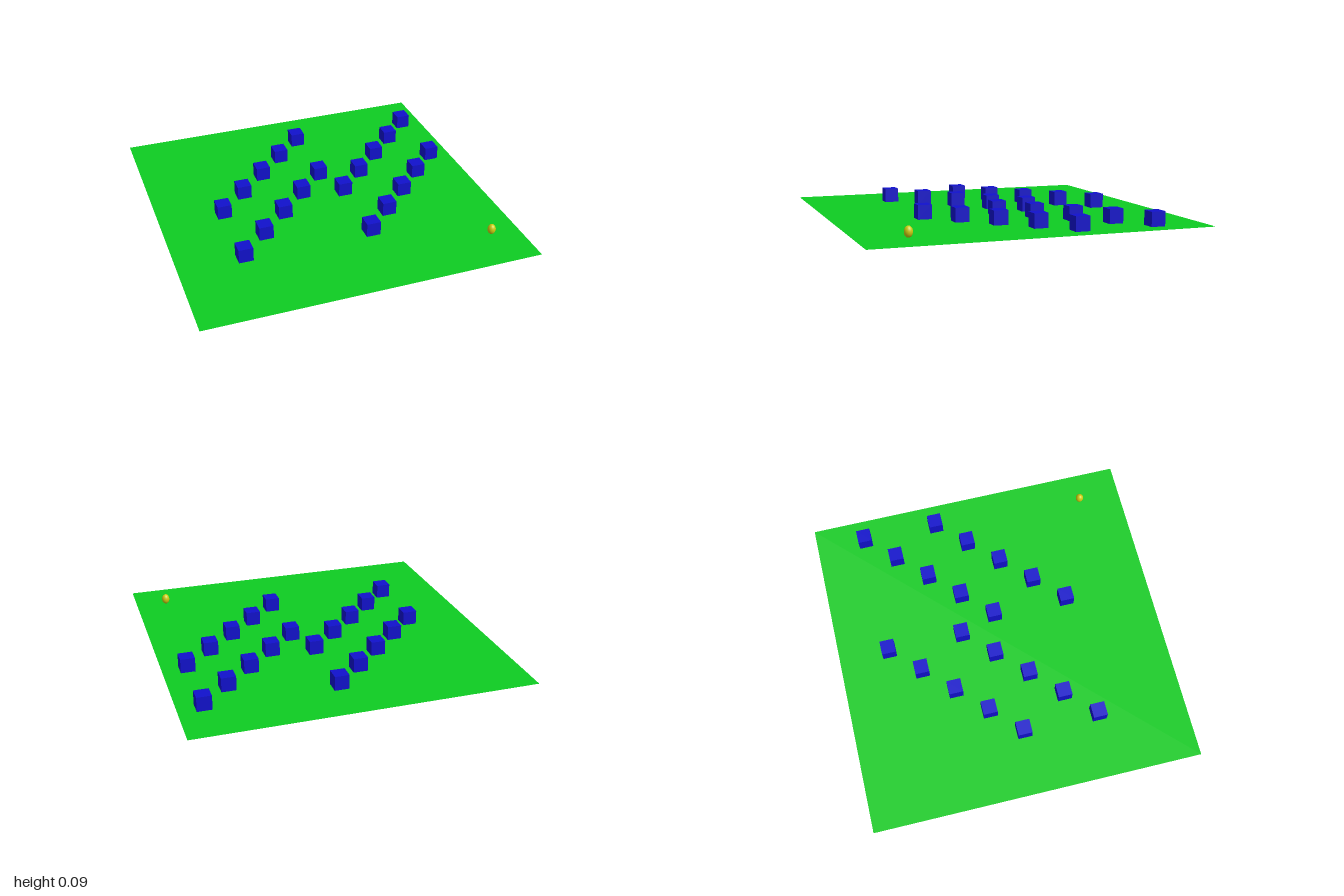
import * as THREE from 'three';

const material = (color, extra = {}) => new THREE.MeshStandardMaterial({ color, ...extra });

export function createModel() {
  const model = new THREE.Group();
  model.name = 'blockField';

  const add = (name, geometry, mat, x, y, z, parent = model) => {
    const mesh = new THREE.Mesh(geometry, mat);
    mesh.name = name;
    mesh.position.set(x, y, z);
    parent.add(mesh);
    return mesh;
  };

  // Flat square ground sheet, visible from both sides
  const sheet = new THREE.PlaneGeometry(2, 2).rotateX(-Math.PI / 2);
  add('groundSheet', sheet, material(0x0ecc22, { side: THREE.DoubleSide }), 0, 0, 0);

  // Four diagonal rows of five cubes, resting just clear of the sheet
  const size = 0.086;
  const step = 0.1727;
  const cube = new THREE.BoxGeometry(size, size, size);
  const blue = material(0x1111cc);
  const rowStarts = [[-0.61, 0], [-0.61, 0.465], [0.165, 0], [0.165, 0.465]];
  rowStarts.forEach(([x, z], r) => {
    const row = new THREE.Group();
    row.name = `cubeRow${r + 1}`;
    model.add(row);
    for (let i = 0; i < 5; i++) {
      add(`cube${i + 1}`, cube, blue, x + i * step, size / 2 + 0.001, z - i * step, row);
    }
  });

  // Small upright egg-shaped ball hovering near the front left corner
  const ball = new THREE.SphereGeometry(1, 32, 16).scale(0.024, 0.032, 0.024);
  add('ball', ball, material(0xcccc11), 0.815, 0.045, 0.733);

  return model;
}
